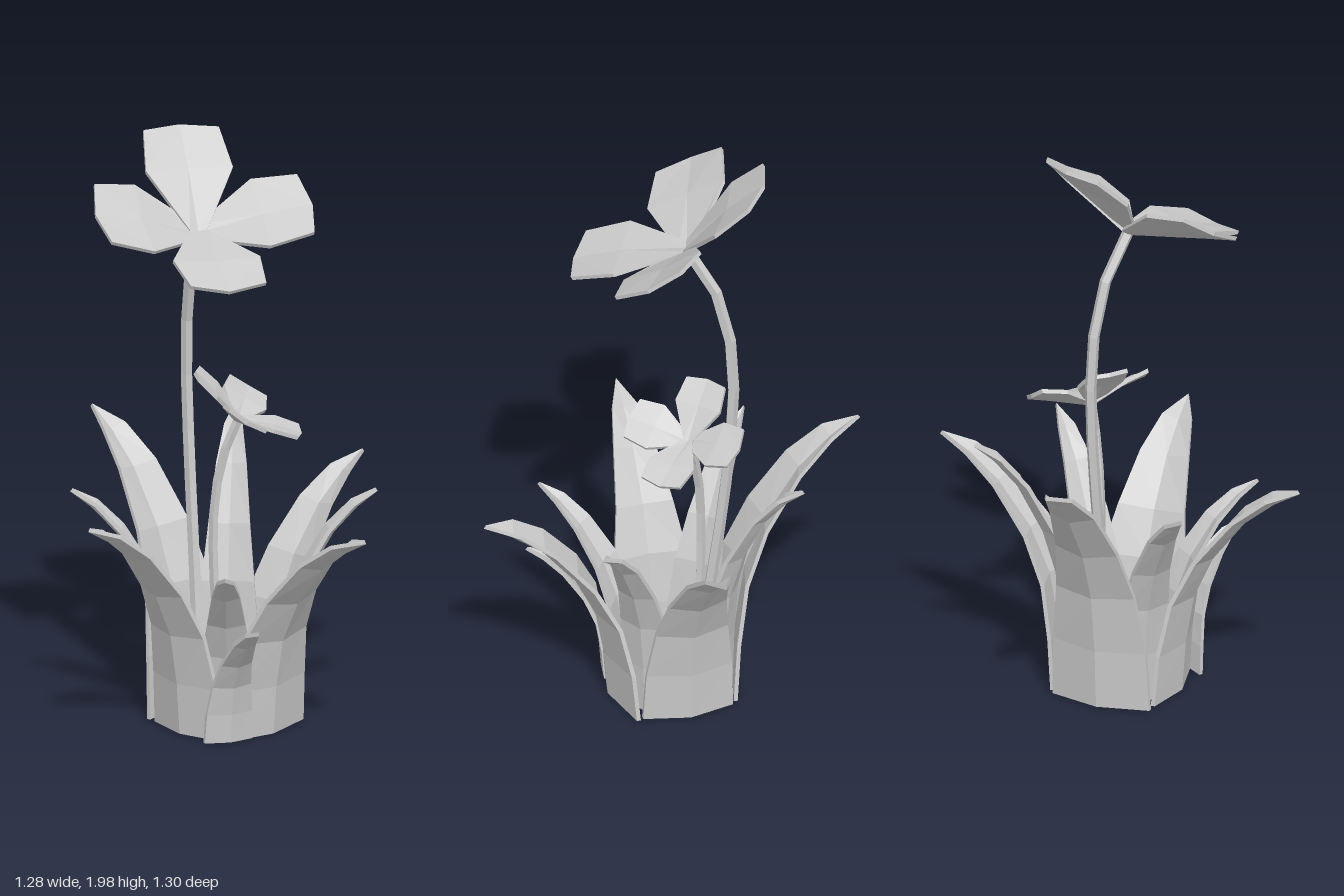
import * as THREE from 'three';

const UP = new THREE.Vector3(0, 1, 0);
const v = (x, y, z) => new THREE.Vector3(x, y, z);
const grey = new THREE.MeshStandardMaterial({ color: 0xcccccc, flatShading: true });
const greyOpen = new THREE.MeshStandardMaterial({ color: 0xcccccc, flatShading: true, side: THREE.DoubleSide });

// Closed faceted slab between two grids of points (P faces out, Q faces in)
function slab(P, Q) {
  const pos = [];
  const tri = (a, b, c) => {
    const area = b.clone().sub(a).cross(c.clone().sub(a)).length();
    if (area > 1e-9) for (const p of [a, b, c]) pos.push(p.x, p.y, p.z);
  };
  const quad = (a, b, c, d) => { tri(a, b, c); tri(a, c, d); };
  const rows = P.length - 1, cols = P[0].length - 1;
  for (let i = 0; i < rows; i++) {
    for (let j = 0; j < cols; j++) {
      quad(P[i][j], P[i][j + 1], P[i + 1][j + 1], P[i + 1][j]);
      quad(Q[i][j], Q[i + 1][j], Q[i + 1][j + 1], Q[i][j + 1]);
    }
    quad(P[i][0], P[i + 1][0], Q[i + 1][0], Q[i][0]);
    quad(P[i][cols], Q[i][cols], Q[i + 1][cols], P[i + 1][cols]);
  }
  for (let j = 0; j < cols; j++) {
    quad(P[0][j], Q[0][j], Q[0][j + 1], P[0][j + 1]);
    quad(P[rows][j], P[rows][j + 1], Q[rows][j + 1], Q[rows][j]);
  }
  const g = new THREE.BufferGeometry();
  g.setAttribute('position', new THREE.Float32BufferAttribute(pos, 3));
  g.computeVertexNormals();
  return g;
}

// Leaf stations: [height, outward reach, width] as fractions
const LEAF = [[0, 0, 1], [0.22, 0.03, 0.95], [0.44, 0.1, 0.8], [0.63, 0.26, 0.63],
  [0.82, 0.53, 0.46], [0.93, 0.78, 0.28], [1, 1, 0]];

// Arching pointed leaf with a folded midrib
function leaf(name, base, tip, halfWidth) {
  const dir = v(tip.x - base.x, 0, tip.z - base.z);
  const reach = dir.length();
  dir.normalize();
  const side = UP.clone().cross(dir);
  const thick = 0.014, P = [], Q = [];
  LEAF.forEach(([h, o, w], i) => {
    const a = LEAF[Math.max(i - 1, 0)], b = LEAF[Math.min(i + 1, LEAF.length - 1)];
    const inward = dir.clone().multiplyScalar(-(b[0] - a[0]) * tip.y)
      .addScaledVector(UP, (b[1] - a[1]) * reach).normalize();
    if (i === 0) inward.copy(dir).negate();
    const mid = base.clone().addScaledVector(dir, o * reach).addScaledVector(UP, h * tip.y);
    const fold = w > 0 ? (0.1 + 0.13 * w) * halfWidth : 0;
    const row = [-1, 0, 1].map(s => mid.clone()
      .addScaledVector(side, s * w * halfWidth)
      .addScaledVector(inward, Math.abs(s) * fold));
    P.push(row);
    Q.push(row.map(p => p.clone().addScaledVector(inward, thick)));
  });
  const m = new THREE.Mesh(slab(P, Q), grey);
  m.name = name;
  return m;
}

// Four cupped petals around an axis
function flower(name, center, axis, ref, size) {
  const group = new THREE.Group();
  group.name = name;
  const n = axis.clone().normalize();
  const first = ref.clone().addScaledVector(n, -ref.dot(n)).normalize();
  // Petal stations: [radius, rise, half width, midline bulge]
  const stations = [[0, 0, 0.03, 0], [0.2, 0.08, 0.15, 0.01], [0.35, 0.115, 0.13, 0.025]];
  for (let k = 0; k < 4; k++) {
    const u = first.clone().applyAxisAngle(n, k * Math.PI / 2);
    const s = u.clone().cross(n);
    const lift = k % 2 ? 0 : 0.008;
    const P = stations.map(([r, h, w, bulge]) => [-1, 0, 1].map(e => center.clone()
      .addScaledVector(u, (r + (e ? 0 : bulge)) * size)
      .addScaledVector(n, (h + lift - (e ? 0 : 0.008)) * size)
      .addScaledVector(s, e * w * size)));
    const Q = P.map(row => row.map(p => p.clone().addScaledVector(n, -0.014)));
    const petal = new THREE.Mesh(slab(P, Q), grey);
    petal.name = 'petal' + (k + 1);
    group.add(petal);
  }
  return group;
}

// Thin bending stem with a closed foot
function stem(name, points, radius) {
  const group = new THREE.Group();
  group.name = name;
  const curve = new THREE.CatmullRomCurve3(points);
  group.add(new THREE.Mesh(new THREE.TubeGeometry(curve, 9, radius, 5), greyOpen));
  const foot = new THREE.Mesh(new THREE.CircleGeometry(radius, 5), greyOpen);
  foot.rotation.x = Math.PI / 2;
  foot.position.copy(points[0]);
  group.add(foot);
  group.children.forEach((c, i) => { c.name = name + (i ? 'Foot' : 'Stalk'); });
  return group;
}

export function createModel() {
  const model = new THREE.Group();
  model.name = 'floweringPlant';

  // Four broad outer leaves
  model.add(
    leaf('frontLeaf', v(0, 0, 0.22), v(0, 0.75, 0.65), 0.185),
    leaf('leftLeaf', v(0.22, 0, 0), v(0.64, 0.79, 0.01), 0.155),
    leaf('rightLeaf', v(-0.22, 0, 0), v(-0.64, 0.79, -0.01), 0.155),
    leaf('backLeaf', v(0, 0, -0.225), v(0.02, 0.94, -0.65), 0.175));

  // Narrower leaves in the corners
  model.add(
    leaf('backLeftLeaf', v(0.14, 0, -0.13), v(0.39, 0.94, -0.34), 0.11),
    leaf('frontLeftLeaf', v(0.135, 0, 0.135), v(0.36, 0.79, 0.35), 0.105),
    leaf('frontRightLeaf', v(-0.13, 0, 0.13), v(-0.36, 0.63, 0.35), 0.1),
    leaf('backRightLeaf', v(-0.135, 0, -0.135), v(-0.36, 0.79, -0.37), 0.105),
    leaf('smallLeaf', v(-0.17, 0, 0.19), v(-0.27, 0.44, 0.42), 0.085));

  // Tall flower
  const tall = v(-0.06, 1.69, -0.07);
  model.add(stem('tallStem', [v(-0.04, 0, -0.09), v(0, 0.4, -0.14), v(0.02, 0.8, -0.185),
    v(0.025, 1.18, -0.208), v(0.012, 1.4, -0.19), v(-0.015, 1.56, -0.145), tall], 0.02));
  model.add(flower('tallFlower', tall, v(-0.22, 0.86, 0.47), v(-0.43, -0.5, 0.74), 1));

  // Short flower
  const short = v(0.09, 1.02, -0.03);
  model.add(stem('shortStem', [v(0.07, 0, -0.05), v(0.04, 0.35, -0.085), v(0.035, 0.7, -0.09),
    v(0.055, 0.88, -0.07), short], 0.016));
  model.add(flower('shortFlower', short, v(0.37, 0.85, 0.37), v(0.6, -0.53, 0.6), 0.55));

  return model;
}
